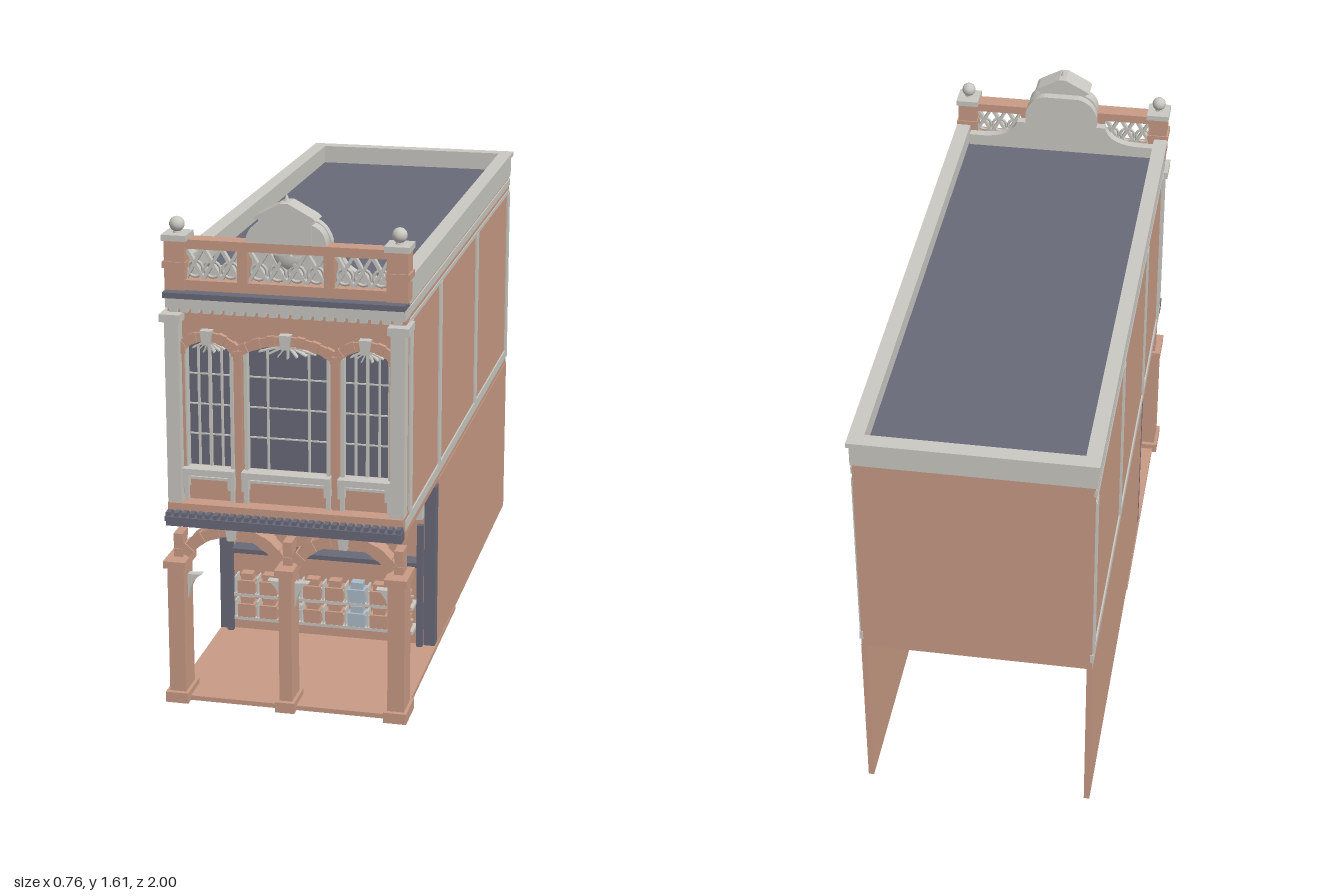
import * as THREE from 'three';

const mat = (name, color) => Object.assign(new THREE.MeshStandardMaterial({ color }), { name });

export function createModel() {
  const model = new THREE.Group();
  model.name = 'shophouse';
  const clay = mat('terracotta', 0xc89a85), stone = mat('pale stone', 0xc9c8c2);
  const slate = mat('slate grey', 0x686a79), blue = mat('pale blue', 0xabbbc8);

  const add = (name, geo, m) => {
    const mesh = new THREE.Mesh(geo, m);
    mesh.name = name;
    model.add(mesh);
    return mesh;
  };
  // Box given by its limits on each axis
  const box = (name, m, x0, x1, y0, y1, z0, z1) => {
    const b = add(name, new THREE.BoxGeometry(x1 - x0, y1 - y0, z1 - z0), m);
    b.position.set((x0 + x1) / 2, (y0 + y1) / 2, (z0 + z1) / 2);
    return b;
  };
  // The same box on both sides
  const pair = (name, m, x0, x1, ...r) => {
    box(name, m, x0, x1, ...r);
    box(name, m, -x1, -x0, ...r);
  };
  const slab = (name, m, shape, z0, z1) => {
    const s = add(name, new THREE.ExtrudeGeometry(shape, { depth: z1 - z0, bevelEnabled: false, curveSegments: 12 }), m);
    s.position.z = z0;
    return s;
  };
  const poly = pts => new THREE.Shape(pts.map(p => new THREE.Vector2(p[0], p[1])));
  // Straight bar in a vertical plane
  const bar = (name, m, x0, y0, x1, y1, w, z0, z1) => {
    const b = add(name, new THREE.BoxGeometry(Math.hypot(x1 - x0, y1 - y0), w, z1 - z0), m);
    b.position.set((x0 + x1) / 2, (y0 + y1) / 2, (z0 + z1) / 2);
    b.rotation.z = Math.atan2(y1 - y0, x1 - x0);
  };
  // Segmental arch geometry: radius, centre height, half angle
  const arc = (y, a, rise) => {
    const R = (a * a + rise * rise) / (2 * rise);
    return { R, cy: y + rise - R, half: Math.asin(a / R) };
  };
  // Arch of wedge blocks with a stone keystone
  const arch = (name, cx, y, a, rise, t, z0, z1, n) => {
    const { R, cy, half } = arc(y, a, rise);
    for (let i = 0; i < n; i++) {
      const t0 = -half + (2 * half * i) / n, t1 = t0 + (2 * half) / n;
      const out = R + t + (i % 2 ? 0 : 0.004);
      const p = (r, k) => [cx + r * Math.sin(k), cy + r * Math.cos(k)];
      slab(name, clay, poly([p(R, t0), p(R, t1), p(out, t1), p(out, t0)]), z0, z1 - (i % 2 ? 0.005 : 0));
    }
    const ky = y + rise;
    slab('keystone', stone, poly([[cx - 0.012, ky - 0.008], [cx + 0.012, ky - 0.008],
      [cx + 0.018, ky + t + 0.008], [cx - 0.018, ky + t + 0.008]]), z0, z1 + 0.01);
  };

  // Ground floor: paving, open-backed side walls and shopfront wall
  box('floor', clay, -0.365, 0.365, 0, 0.015, 0.05, 0.95);
  pair('sideWall', clay, 0.345, 0.363, 0.01, 0.585, -0.985, 0.38);
  box('shopWall', clay, -0.345, 0.345, 0.012, 0.585, 0.385, 0.40);
  pair('shopPost', slate, 0.325, 0.362, 0.02, 0.57, 0.378, 0.42);
  pair('shopJamb', slate, 0.308, 0.328, 0.03, 0.45, 0.44, 0.46);
  box('shopRail', slate, -0.31, 0.31, 0.305, 0.32, 0.40, 0.46);
  box('shopSign', stone, -0.325, 0.325, 0.47, 0.53, 0.40, 0.46);

  // Display racks with goods
  for (const y of [0.077, 0.16]) {
    box('rackShelf', stone, -0.3, 0.3, y, y + 0.01, 0.40, 0.475);
    box('rackRail', stone, -0.3, 0.3, y + 0.045, y + 0.051, 0.462, 0.468);
    for (let i = 0; i < 8; i++) {
      const x = -0.259 + i * 0.074, m = i === 2 || i === 5 ? blue : clay;
      box('goods', m, x - 0.029, x + 0.029, y + 0.01, y + 0.055, 0.42, 0.474);
      box('goodsLid', m, x - 0.02, x + 0.02, y + 0.055, y + 0.077, 0.43, 0.465);
      box('rackDivider', stone, x - 0.04, x - 0.035, y, y + 0.066, 0.42, 0.47);
    }
  }

  // Arcade columns, imposts and curved brackets
  for (const x of [-0.345, 0, 0.345]) {
    const w = x ? 0.026 : 0.02;
    box('column', clay, x - w, x + w, 0.02, 0.455, 0.872, 0.965);
    box('columnBase', clay, x - w - 0.01, x + w + 0.01, 0, 0.034, 0.857, 0.98);
    box('columnCapital', clay, x - w - 0.009, x + w + 0.009, 0.445, 0.468, 0.857, 0.98);
    for (let k = 0; k < 3; k++) {
      const e = k % 2 ? 0.004 : 0;
      box('impost', clay, x - 0.014, x + 0.014, 0.468 + k * 0.025, 0.493 + k * 0.025, 0.872 + e, 0.932 - e);
    }
    for (const s of [-1, 1]) {
      if (x * s > 0) continue;
      const sh = new THREE.Shape();
      sh.moveTo(x + s * w, 0.33);
      sh.lineTo(x + s * w, 0.41);
      sh.lineTo(x + s * (w + 0.045), 0.412);
      sh.quadraticCurveTo(x + s * (w + 0.012), 0.395, x + s * w, 0.33);
      slab('columnBracket', stone, sh, 0.9, 0.925);
    }
  }
  for (const x of [-0.175, 0.175]) arch('arcadeArch', x, 0.468, 0.136, 0.075, 0.034, 0.872, 0.93, 13);
  box('arcadeBeam', clay, -0.362, 0.362, 0.575, 0.59, 0.865, 0.935);

  // Upper storey block, bands, side pilasters
  box('upperBlock', clay, -0.361, 0.361, 0.582, 1.31, -0.985, 0.885);
  pair('sideBand', stone, 0.355, 0.366, 0.61, 0.642, -0.987, 0.93);
  pair('sideBandTop', stone, 0.355, 0.364, 1.237, 1.25, -0.985, 0.89);
  pair('sideFrieze', stone, 0.355, 0.365, 1.266, 1.29, -0.985, 0.89);
  for (const z of [0.85, 0.38, -0.29, -0.96])
    pair('sidePilaster', stone, 0.355, 0.366, 0.642, 1.24, z - 0.021, z + 0.021);

  // Roof and surrounding parapet
  box('roof', slate, -0.33, 0.33, 1.305, 1.325, -0.95, 0.86);
  pair('parapetWall', stone, 0.328, 0.366, 1.3, 1.372, -0.988, 0.9);
  pair('parapetCoping', stone, 0.326, 0.373, 1.372, 1.387, -0.998, 0.9);
  box('backParapet', stone, -0.366, 0.366, 1.3, 1.372, -0.988, -0.95);
  box('backCoping', stone, -0.373, 0.373, 1.372, 1.387, -0.998, -0.948);

  // Cornice between the storeys
  box('corniceBody', clay, -0.364, 0.364, 0.588, 0.635, 0.87, 0.95);
  box('corniceSlate', slate, -0.365, 0.365, 0.588, 0.612, 0.945, 0.985);
  box('corniceLip', slate, -0.365, 0.365, 0.608, 0.622, 0.95, 1.0);
  box('corniceTop', clay, -0.364, 0.364, 0.632, 0.656, 0.87, 0.965);
  for (let i = 0; i < 30; i++) {
    const x = -0.355 + i * 0.0245;
    box('corniceDentil', slate, x - 0.007, x + 0.007, 0.622, 0.635, 0.95, 0.995);
  }

  // Facade wall with three arched windows: centre, half width
  const windows = [[-0.242, 0.072], [0, 0.127], [0.242, 0.072]];
  const wall = poly([[-0.362, 0.65], [0.362, 0.65], [0.362, 1.25], [-0.362, 1.25]]);
  for (const [cx, a] of windows) {
    const rise = 0.035, { R, cy, half } = arc(1.125, a, rise), hole = new THREE.Path();
    hole.moveTo(cx - a, 0.76);
    hole.lineTo(cx + a, 0.76);
    hole.absarc(cx, cy, R, Math.PI / 2 - half, Math.PI / 2 + half, false);
    hole.lineTo(cx - a, 0.76);
    wall.holes.push(hole);
    box('glass', slate, cx - a, cx + a, 0.755, 1.165, 0.884, 0.892);
    // Frames, mullions and fanlight
    for (const s of [-1, 1]) {
      const e = cx + s * a;
      box('windowFrame', stone, e - 0.005, e + 0.005, 0.76, 1.13, 0.89, 0.922);
      box('mullion', stone, cx + s * a * 0.5 - 0.003, cx + s * a * 0.5 + 0.003, 0.76, 1.14, 0.89, 0.902);
      box('sillConsole', stone, e - 0.01, e + 0.01, 0.7, 0.742, 0.91, 0.945);
      box('sillLeg', stone, e - 0.006, e + 0.006, 0.656, 0.7, 0.91, 0.93);
    }
    if (cx) box('mullion', stone, cx - 0.004, cx + 0.004, 0.76, 1.14, 0.89, 0.906);
    for (const y of [0.86, 0.955, 1.05]) box('glazingBar', stone, cx - a, cx + a, y - 0.002, y + 0.002, 0.89, 0.898);
    for (let k = -3; k <= 3; k++)
      bar('fanBar', stone, cx, 1.158, cx + k * a * 0.23, 1.115 + Math.abs(k) * 0.006, 0.004, 0.89, 0.912);
    arch('windowArch', cx, 1.125, a + 0.006, rise, 0.028, 0.9, 0.932, cx ? 9 : 13);
    box('sill', stone, cx - a - 0.01, cx + a + 0.01, 0.742, 0.762, 0.9, 0.95);
    box('apronRail', stone, cx - a, cx + a, 0.722, 0.73, 0.91, 0.924);
  }
  slab('facadeWall', clay, wall, 0.884, 0.914);
  for (const x of [0.15, 0.326]) {
    pair('facadePier', clay, x - 0.012, x + 0.012, 0.656, 1.12, 0.91, 0.925);
    pair('pierCap', clay, x - 0.016, x + 0.016, 1.12, 1.137, 0.91, 0.934);
  }
  pair('cornerPilaster', stone, 0.322, 0.365, 0.656, 1.225, 0.905, 0.956);
  pair('pilasterCap', stone, 0.314, 0.378, 1.222, 1.246, 0.87, 0.965);

  // Upper cornice with dentils
  box('upperFrieze', stone, -0.364, 0.364, 1.262, 1.3, 0.87, 0.945);
  box('upperFriezeBase', clay, -0.363, 0.363, 1.243, 1.262, 0.87, 0.925);
  for (let i = 0; i < 21; i++) {
    const x = -0.34 + i * 0.034;
    box('upperDentil', stone, x - 0.011, x + 0.011, 1.25, 1.265, 0.92, 0.945);
  }
  box('upperCornice', slate, -0.366, 0.366, 1.297, 1.314, 0.87, 0.966);

  // Pierced front parapet
  const front = poly([[-0.365, 1.312], [0.365, 1.312], [0.365, 1.468], [-0.365, 1.468]]);
  for (const [cx, a, n] of [[-0.228, 0.082, 3], [0, 0.116, 4], [0.228, 0.082, 3]]) {
    front.holes.push(new THREE.Path(poly([[cx - a, 1.345], [cx - a, 1.44], [cx + a, 1.44], [cx + a, 1.345]]).getPoints()));
    for (let i = 0; i < n; i++) {
      const x0 = cx - a + (2 * a * i) / n, x1 = x0 + (2 * a) / n;
      bar('lattice', stone, x0, 1.345, x1, 1.44, 0.01, 0.89, 0.908);
      bar('lattice', stone, x0, 1.44, x1, 1.345, 0.01, 0.888, 0.906);
      const ring = add('latticeRing', new THREE.TorusGeometry(0.024, 0.005, 6, 16), stone);
      ring.position.set((x0 + x1) / 2, 1.375, 0.898);
    }
  }
  slab('frontParapet', clay, front, 0.868, 0.925);
  const shell = add('shellOrnament', new THREE.SphereGeometry(0.045, 16, 10, 0, Math.PI * 2, Math.PI / 2, Math.PI / 2), stone);
  shell.position.set(0, 1.43, 0.89);
  shell.scale.set(1, 1, 0.5);

  // Corner posts with ball finials
  pair('cornerPost', clay, 0.305, 0.368, 1.312, 1.468, 0.862, 0.932);
  pair('postBand', clay, 0.302, 0.374, 1.38, 1.4, 0.858, 0.936);
  pair('postCap', stone, 0.298, 0.374, 1.464, 1.482, 0.853, 0.94);
  for (const x of [-0.336, 0.336]) {
    add('ballFinial', new THREE.SphereGeometry(0.023, 20, 14), stone).position.set(x, 1.508, 0.897);
    add('ballNeck', new THREE.CylinderGeometry(0.01, 0.013, 0.012, 12), stone).position.set(x, 1.486, 0.897);
  }

  // Scrolled gable behind the parapet
  const gable = new THREE.Shape();
  gable.moveTo(-0.325, 1.31);
  gable.lineTo(0.325, 1.31);
  gable.lineTo(0.325, 1.365);
  gable.lineTo(0.27, 1.365);
  gable.quadraticCurveTo(0.17, 1.37, 0.155, 1.43);
  gable.lineTo(0.125, 1.43);
  gable.lineTo(0.125, 1.47);
  gable.quadraticCurveTo(0.11, 1.525, 0.06, 1.535);
  gable.lineTo(-0.06, 1.535);
  gable.quadraticCurveTo(-0.11, 1.525, -0.125, 1.47);
  gable.lineTo(-0.125, 1.43);
  gable.lineTo(-0.155, 1.43);
  gable.quadraticCurveTo(-0.17, 1.37, -0.27, 1.365);
  gable.lineTo(-0.325, 1.365);
  slab('gable', stone, gable, 0.832, 0.862);

  // Central crest with small roof and finial
  box('crestBlock', stone, -0.08, 0.08, 1.468, 1.545, 0.865, 0.925);
  slab('crestRoof', stone, poly([[-0.095, 1.543], [0.095, 1.543], [0.085, 1.553], [0.012, 1.592], [-0.012, 1.592], [-0.085, 1.553]]), 0.858, 0.935);
  add('crestFinial', new THREE.ConeGeometry(0.011, 0.025, 8), stone).position.set(0, 1.602, 0.897);
  for (const s of [-1, 1]) {
    const sh = new THREE.Shape();
    sh.moveTo(s * 0.08, 1.468);
    sh.lineTo(s * 0.122, 1.468);
    sh.quadraticCurveTo(s * 0.118, 1.515, s * 0.08, 1.527);
    slab('crestScroll', stone, sh, 0.872, 0.918);
  }
  return model;
}
